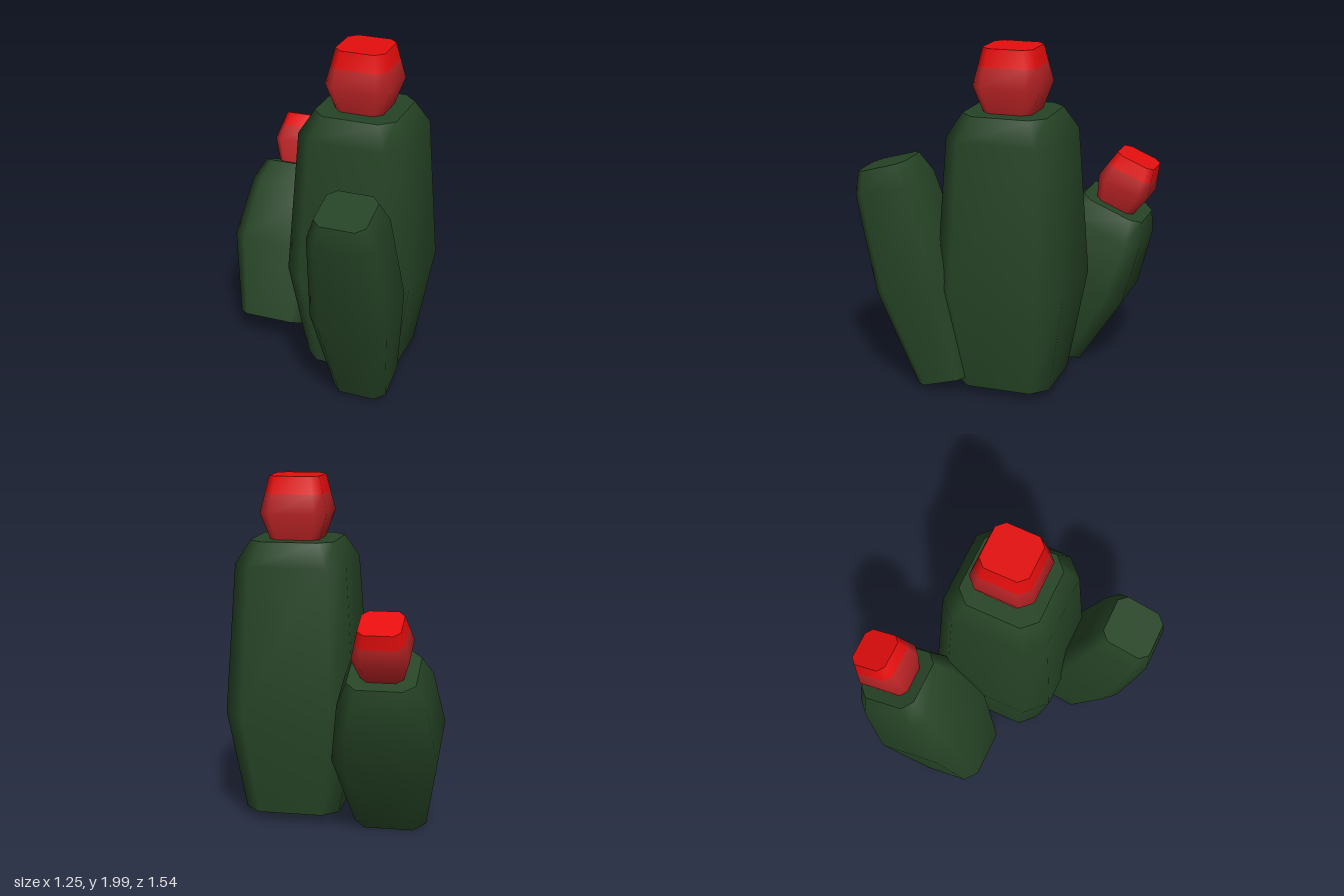
import * as THREE from 'three';

const mat = (name, color) => {
  const m = new THREE.MeshStandardMaterial({ color });
  m.name = name;
  return m;
};

// Square outline with cut corners, eight points running from +x towards +z
function outline(h) {
  const c = h * 0.68;
  return [[h, -c], [h, c], [c, h], [-c, h], [-h, c], [-h, -c], [-c, -h], [c, -h]];
}

// Loft through rings [height, halfWidth]; bandMaterials gives a material index per band
function loft(rings, bandMaterials) {
  const positions = [], index = [];
  const geo = new THREE.BufferGeometry();
  const addRing = ([y, h]) => {
    const start = positions.length / 3;
    outline(h).forEach(([x, z]) => positions.push(x, y, z));
    return start;
  };
  const addGroup = (from, m) => geo.addGroup(from, index.length - from, m);

  // Smooth sides
  const starts = rings.map(addRing);
  for (let r = 0; r < rings.length - 1; r++) {
    const from = index.length;
    for (let i = 0; i < 8; i++) {
      const j = (i + 1) % 8;
      const a = starts[r] + i, b = starts[r] + j;
      const c = starts[r + 1] + i, d = starts[r + 1] + j;
      index.push(a, c, b, b, c, d);
    }
    addGroup(from, bandMaterials[r]);
  }

  // Sharp-edged end caps with their own vertices
  const last = rings.length - 1;
  [[rings[0], bandMaterials[0], false], [rings[last], bandMaterials[last - 1], true]]
    .forEach(([ring, m, up]) => {
      const s = addRing(ring), from = index.length;
      for (let i = 1; i < 7; i++) {
        if (up) index.push(s, s + i + 1, s + i);
        else index.push(s, s + i, s + i + 1);
      }
      addGroup(from, m);
    });

  geo.setAttribute('position', new THREE.Float32BufferAttribute(positions, 3));
  geo.setIndex(index);
  geo.computeVertexNormals();
  return geo;
}

export function createModel() {
  const green = mat('cactusGreen', 0x264426);
  const darkRed = mat('flowerRed', 0xbd2426);
  const brightRed = mat('flowerTipRed', 0xe50d0d);

  const parts = [
    { // tall upright stem
      name: 'mainStem', pos: [0.245, 0.06, -0.07], tilt: 0,
      stem: [[0, 0.275], [0.59, 0.375], [1.45, 0.32], [1.58, 0.242]],
      flower: [[1.57, 0.14], [1.73, 0.194], [1.84, 0.168], [1.94, 0.145]],
    },
    { // slim stem leaning forward
      name: 'frontStem', pos: [0.397, 0.07, 0.27], tilt: 0.277,
      stem: [[0, 0.16], [0.6, 0.228], [1.175, 0.194], [1.3, 0.15]],
    },
    { // short stem leaning backward
      name: 'backStem', pos: [-0.333, 0.09, -0.157], tilt: -0.401,
      stem: [[0, 0.21], [0.485, 0.297], [0.845, 0.247], [0.973, 0.192]],
      flower: [[0.96, 0.115], [1.11, 0.16], [1.2, 0.138], [1.28, 0.119]],
    },
  ];

  const model = new THREE.Group();
  model.name = 'cactus';
  for (const p of parts) {
    const group = new THREE.Group();
    group.name = p.name;
    group.position.set(...p.pos);
    group.rotation.x = p.tilt;

    const body = new THREE.Mesh(loft(p.stem, [0, 0, 0]), [green]);
    body.name = p.name + 'Body';
    group.add(body);

    if (p.flower) {
      const flower = new THREE.Mesh(loft(p.flower, [0, 0, 1]), [darkRed, brightRed]);
      flower.name = p.name + 'Flower';
      group.add(flower);
    }
    model.add(group);
  }
  return model;
}
